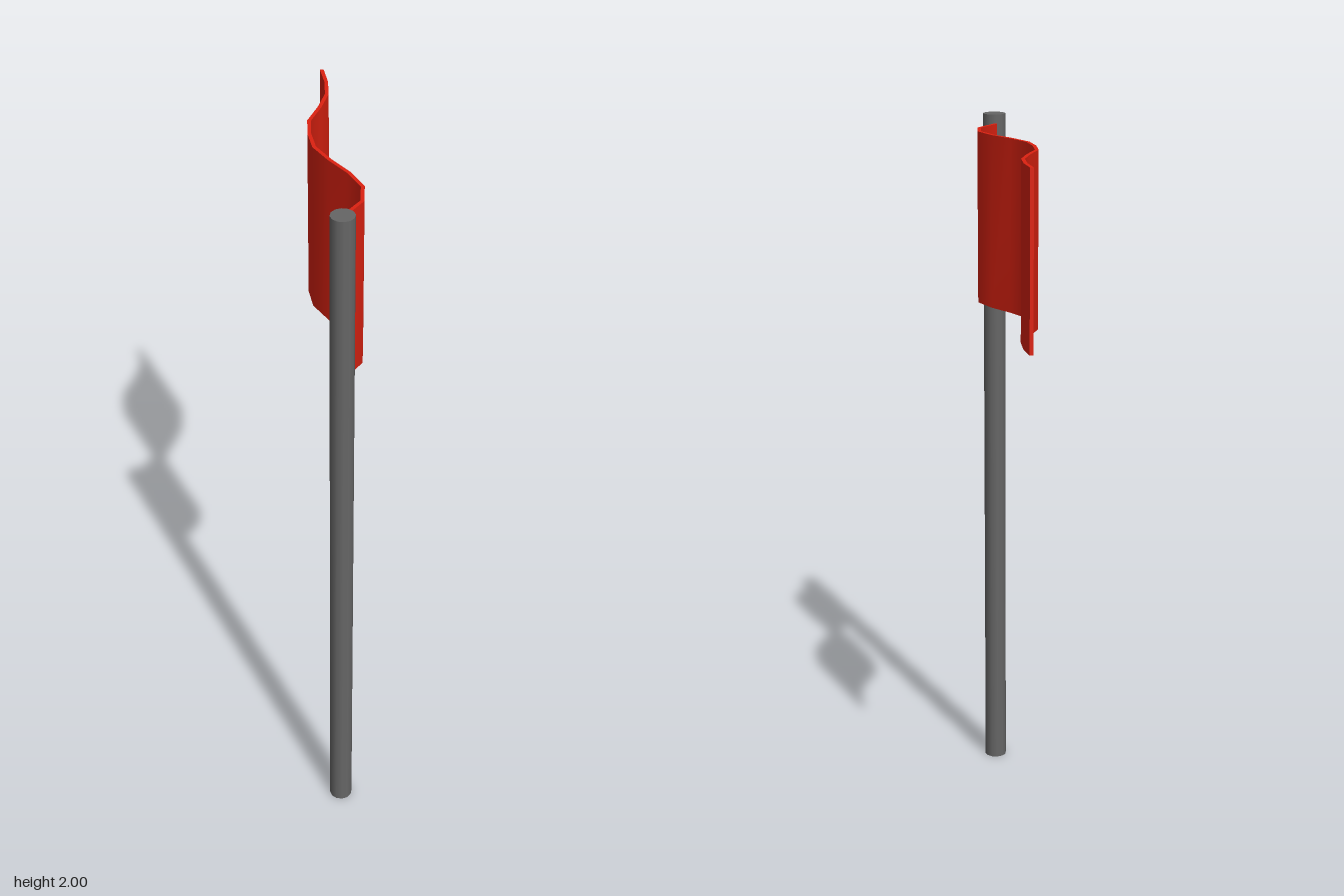
import * as THREE from 'three';

const POLE = { x: -0.016, z: 0.378, radius: 0.032, height: 2 };
const CLOTH = { bottom: 1.49, top: 1.975, thickness: 0.01, back: -0.41, front: 0.345 };

// Sideways sway of the cloth at even steps from its free end to the pole
const SWAY = [0.011, 0.016, 0.011, -0.015, -0.049, -0.055, -0.049, -0.016, 0.026, 0.052, 0.043, -0.015];

function createPole() {
  const pole = new THREE.Mesh(
    new THREE.CylinderGeometry(POLE.radius, POLE.radius, POLE.height, 12),
    new THREE.MeshStandardMaterial({ color: 0x666666 })
  );
  pole.name = 'pole';
  pole.position.set(POLE.x, POLE.height / 2, POLE.z);
  return pole;
}

// Thin slab bent along the sway, keeping an even thickness
function createCloth() {
  const steps = SWAY.length - 1;
  const length = CLOTH.front - CLOTH.back;
  const step = length / steps;
  const geometry = new THREE.BoxGeometry(CLOTH.thickness, CLOTH.top - CLOTH.bottom, length, 1, 1, steps);
  const p = geometry.attributes.position;
  for (let v = 0; v < p.count; v++) {
    const i = Math.round((p.getZ(v) + length / 2) / step);
    const a = Math.max(i - 1, 0);
    const b = Math.min(i + 1, steps);
    const angle = Math.atan2(SWAY[b] - SWAY[a], (b - a) * step);
    const offset = p.getX(v);
    p.setX(v, SWAY[i] + offset * Math.cos(angle));
    p.setZ(v, p.getZ(v) - offset * Math.sin(angle));
  }
  geometry.computeVertexNormals();

  const cloth = new THREE.Mesh(geometry, new THREE.MeshStandardMaterial({ color: 0xdd2211 }));
  cloth.name = 'flagCloth';
  cloth.position.set(0, (CLOTH.top + CLOTH.bottom) / 2, (CLOTH.front + CLOTH.back) / 2);
  return cloth;
}

export function createModel() {
  const flag = new THREE.Group();
  flag.name = 'flag';
  flag.add(createPole(), createCloth());
  return flag;
}
